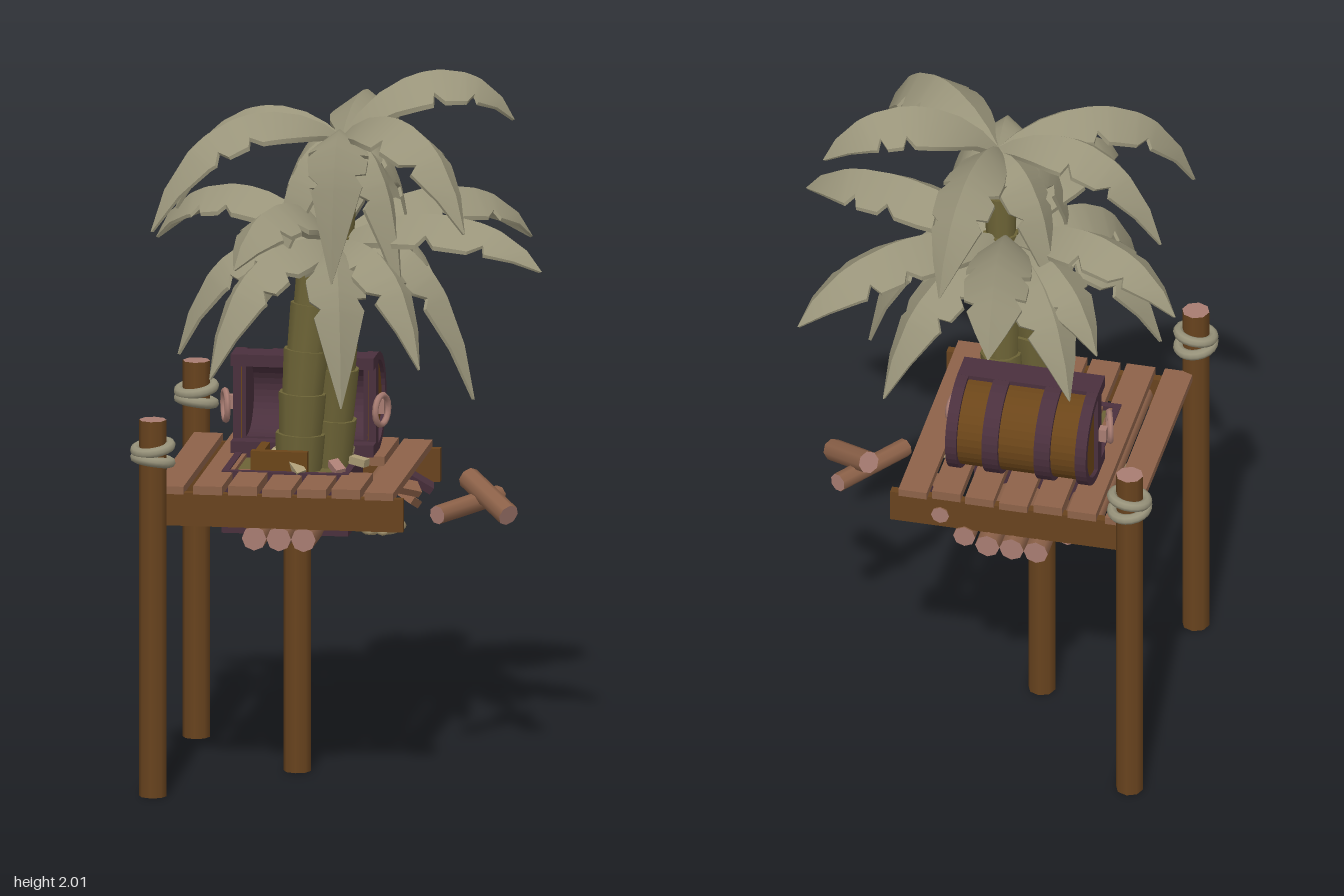
import * as THREE from 'three';
import { toCreasedNormals } from 'three/addons/utils/BufferGeometryUtils.js';

const V = (x, y, z) => new THREE.Vector3(x, y, z);
const mat = (name, color) => {
  const m = new THREE.MeshStandardMaterial({ color });
  m.name = name;
  return m;
};

export function createModel() {
  const leaf = mat('palm leaf', 0x99947a);
  const bark = mat('palm bark', 0x6c6336);
  const post = mat('dark timber', 0x68431e);
  const plank = mat('deck plank', 0x8d6249);
  const cut = mat('cut wood', 0xa87c72);
  const iron = mat('purple chest trim', 0x4a303d);
  const stave = mat('chest stave', 0x6b4519);
  const rope = mat('rope', 0x97927a);
  const bone = mat('bone', 0xaa9a74);

  const model = new THREE.Group();
  model.name = 'palmPlatform';
  let seed = 7;
  const rnd = () => (seed = (seed * 16807) % 2147483647) / 2147483647;

  const add = (name, geo, m, x = 0, y = 0, z = 0, parent = model) => {
    const mesh = new THREE.Mesh(geo, m);
    mesh.name = name;
    mesh.position.set(x, y, z);
    parent.add(mesh);
    return mesh;
  };
  const box = (name, m, x0, x1, y0, y1, z0, z1, parent) =>
    add(name, new THREE.BoxGeometry(x1 - x0, y1 - y0, z1 - z0), m,
      (x0 + x1) / 2, (y0 + y1) / 2, (z0 + z1) / 2, parent);
  // round timber between two points with pale cut ends
  const log = (name, a, b, r, side = plank, ends = [cut, cut]) => {
    const mesh = add(name, new THREE.CylinderGeometry(r, r, a.distanceTo(b), 8), [side, ...ends]);
    mesh.position.copy(a).add(b).multiplyScalar(0.5);
    mesh.quaternion.setFromUnitVectors(V(0, 1, 0), b.clone().sub(a).normalize());
    return mesh;
  };

  // posts and rope bindings
  for (const z of [0.45, -0.365]) {
    log('cornerPost', V(-0.5, 0, z), V(-0.5, 1.08, z), 0.039, post, [cut, post]);
    [0.965, 1.0].forEach((y, i) => {
      const ring = add('ropeBinding', new THREE.TorusGeometry(0.05, 0.015, 8, 20), rope, -0.5, y, z);
      ring.rotation.set(Math.PI / 2 + (i ? 0.14 : -0.1), i ? 0.14 : -0.14, 0);
    });
  }
  log('centrePost', V(-0.15, 0, 0.05), V(-0.15, 0.72, 0.05), 0.039, post, [cut, post]);

  // beams and deck planks, with an opening for the sunken chest
  box('frontBeam', post, -0.47, 0.205, 0.77, 0.865, 0.39, 0.415);
  box('backBeam', post, -0.47, 0.205, 0.77, 0.865, -0.305, -0.28);
  [-0.458, -0.349, -0.25, -0.152, -0.054, 0.043, 0.138].forEach((x, i) => {
    const j = (i % 3) * 0.004, w = 0.041;
    const spans = i > 1 && i < 6 ? [[-0.315 + j, -0.04], [0.18, 0.425 - j]] : [[-0.315 + j, 0.425 - j]];
    for (const [a, b] of spans)
      box('deckPlank', plank, x - w, x + w, 0.862, 0.884 + j * 0.6, a, b);
  });

  // log raft under the deck
  [-0.22, -0.15, -0.08].forEach(x => log('raftLog', V(x, 0.737, 0.4), V(x, 0.737, -0.325), 0.035));
  log('raftLog', V(-0.29, 0.748, 0.2), V(-0.29, 0.748, -0.24), 0.032);
  log('raftLog', V(-0.01, 0.748, 0.2), V(-0.01, 0.748, -0.31), 0.032);
  log('sideLog', V(0.06, 0.81, 0.28), V(0.06, 0.81, -0.31), 0.026);
  log('sideLog', V(-0.37, 0.825, 0.37), V(-0.37, 0.825, -0.27), 0.026);

  // loose crossed logs beside the deck
  log('looseLog', V(0.31, 0.82, -0.12), V(0.445, 0.745, 0.02), 0.032);
  log('looseLog', V(0.25, 0.75, 0.07), V(0.39, 0.765, -0.16), 0.027);

  // open chest body sunk through the deck
  const chest = new THREE.Group();
  chest.name = 'chestBody';
  model.add(chest);
  box('chestFloor', iron, -0.34, 0.02, 0.712, 0.735, -0.16, 0.22, chest);
  box('chestFront', iron, -0.34, 0.02, 0.72, 0.89, 0.2, 0.22, chest);
  box('chestBack', iron, -0.34, 0.02, 0.72, 0.89, -0.06, -0.04, chest);
  for (const x of [-0.34, 0.0]) box('chestSide', iron, x, x + 0.02, 0.72, 0.89, -0.06, 0.22, chest);
  box('chestSoil', bark, -0.32, 0.0, 0.73, 0.875, -0.04, 0.2, chest);

  // raised lid: barrel shell, ends set back behind the lips, bands and ring handles
  const lid = new THREE.Group();
  lid.name = 'chestLid';
  lid.position.set(-0.15, 1.028, -0.04);
  model.add(lid);
  const dee = (grow, wall, start = 0.05) => {
    const s = new THREE.Shape(), h = 0.13 + grow, c = 0.08;
    s.moveTo(start, -h);
    s.lineTo(c, -h);
    s.absellipse(c, 0, 0.147 + grow, h, -Math.PI / 2, Math.PI / 2, false);
    s.lineTo(start, h);
    if (wall) {
      s.lineTo(start, h - wall);
      s.lineTo(c, h - wall);
      s.absellipse(c, 0, 0.147 + grow - wall, h - wall, Math.PI / 2, -Math.PI / 2, true);
      s.lineTo(start, wall - h);
    }
    return s;
  };
  const slab = (name, m, shape, x0, x1) => add(name, new THREE.ExtrudeGeometry(shape,
    { depth: x1 - x0, bevelEnabled: false, curveSegments: 9 }).rotateY(Math.PI / 2), m, x0, 0, 0, lid);
  slab('lidStaves', stave, dee(0, 0.018), -0.19, 0.19);
  slab('lidLining', iron, dee(-0.019, 0.008), -0.185, 0.185);
  for (const s of [-1, 1]) {
    slab('lidEnd', stave, dee(-0.004, 0), s * 0.185 - 0.007, s * 0.185 + 0.007);
    slab('lidEndLining', iron, dee(-0.02, 0), s * 0.173 - 0.006, s * 0.173 + 0.006);
    slab('lidEndBand', iron, dee(0.012, 0.022), s * 0.187 - 0.016, s * 0.187 + 0.016);
    box('lidEndPlate', iron, s * 0.192 - 0.011, s * 0.192 + 0.011, -0.135, 0.135, -0.088, -0.046, lid);
    box('lidLip', iron, -0.203, 0.203, s * 0.125 - 0.017, s * 0.125 + 0.017, -0.085, 0.002, lid);
    const ring = add('ringHandle', new THREE.TorusGeometry(0.042, 0.009, 6, 16), cut, s * 0.222, -0.01, -0.025, lid);
    ring.rotation.y = Math.PI / 2 - s * 0.3;
    box('handleBracket', cut, s * 0.21 - 0.014, s * 0.21 + 0.014, -0.028, 0.012, -0.08, -0.055, lid);
  }
  [-0.075, 0.075].forEach(x => slab('lidBand', iron, dee(0.012, 0.03), x - 0.023, x + 0.023));

  // jointed palm trunks
  const trunk = (pts, r0, r1, n) => {
    const curve = new THREE.CatmullRomCurve3(pts);
    for (let i = 0; i < n; i++) {
      const a = curve.getPoint(i / n), b = curve.getPoint((i + 1) / n);
      const r = r0 + (r1 - r0) * (i / n);
      const seg = add('trunkSegment', new THREE.CylinderGeometry(r * 1.06, r * 0.94, a.distanceTo(b) * 1.06, 10), bark);
      seg.position.copy(a).add(b).multiplyScalar(0.5);
      seg.quaternion.setFromUnitVectors(V(0, 1, 0), b.sub(a).normalize());
    }
  };
  trunk([V(-0.14, 0.86, 0.09), V(-0.125, 1.15, 0.085), V(-0.09, 1.47, 0.06)], 0.068, 0.053, 5);
  trunk([V(-0.06, 0.86, 0.02), V(-0.035, 1.2, 0.035), V(-0.03, 1.5, 0.06), V(-0.02, 1.8, 0.07)], 0.06, 0.038, 7);

  // palm fronds: steep-roofed, notched blades lofted along an arch
  const outline = [[0, .15, .15], [.1, .45, .45], [.22, .8, .75], [.34, .97, .95], [.42, 1, 1], [.45, 1, .68],
    [.5, .74, 1], [.53, 1, 1], [.64, .96, .94], [.66, .64, .92], [.71, .88, .58], [.74, .82, .8], [.88, .48, .46], [1, .02, .02]];
  const frond = (c, [x, y, z, yp, w]) => {
    const tip = V(x, y, z), at = k => V(c.x + (x - c.x) * k, yp, c.z + (z - c.z) * k);
    const curve = new THREE.CubicBezierCurve3(c, at(0.27), at(0.85), tip);
    const side = V(c.z - z, 0, x - c.x).normalize();
    const pos = [], idx = [], N = 6;
    outline.forEach(([t, l, r], k) => {
      const p = curve.getPoint(t), up = side.clone().cross(curve.getTangent(t));
      const th = 0.018 * (1 - t * 0.6), droop = 0.75;
      const pt = (s, u) => p.clone().addScaledVector(side, s).addScaledVector(up, u);
      const L = l * w, R = r * w;
      [pt(-L, -L * droop), pt(0, 0), pt(R, -R * droop), pt(R, -R * droop - th), pt(0, -th), pt(-L, -L * droop - th)]
        .forEach(q => pos.push(q.x, q.y, q.z));
      if (k) for (let i = 0; i < N; i++) {
        const a = (k - 1) * N + i, a2 = (k - 1) * N + (i + 1) % N;
        idx.push(a, a2, a + N, a2, a2 + N, a + N);
      }
    });
    const g = new THREE.BufferGeometry();
    g.setAttribute('position', new THREE.Float32BufferAttribute(pos, 3));
    g.setIndex(idx);
    add('palmFrond', toCreasedNormals(g, 0.55), leaf);
  };
  // each frond: tip x, y, z, arch height, half width
  const crown = V(-0.02, 1.83, 0.07), lower = V(-0.05, 1.52, 0.06);
  [[0.44, 1.85, -0.13, 2.06, .095], [0.03, 1.66, -0.45, 1.96, .085], [0.38, 1.63, 0.41, 1.97, .095],
    [-0.01, 1.46, 0.34, 1.9, .085], [-0.52, 1.6, 0.36, 1.97, .085], [-0.5, 1.6, 0.03, 1.96, .085],
    [-0.2, 1.42, 0.22, 1.84, .075], [0.17, 1.4, 0.2, 1.84, .075], [-0.22, 1.45, -0.08, 1.84, .075],
    [0.16, 1.4, -0.12, 1.84, .075],
  ].forEach(f => frond(crown, f));
  [[0.57, 1.49, 0.22, 1.67, .095], [-0.58, 1.48, -0.14, 1.71, .085], [-0.13, 1.53, -0.53, 1.73, .092],
    [-0.26, 1.53, 0.52, 1.73, .088], [0.45, 1.46, -0.4, 1.69, .095], [-0.34, 1.2, 0.45, 1.58, .085],
    [-0.48, 1.2, 0.12, 1.58, .085], [0.36, 1.09, 0.09, 1.58, .085], [0.03, 1.12, 0.42, 1.56, .085],
    [-0.37, 1.36, -0.21, 1.6, .085], [0.22, 1.2, -0.33, 1.57, .085], [0.24, 1.22, 0.33, 1.57, .08],
    [-0.31, 1.25, -0.29, 1.57, .09],
  ].forEach(f => frond(lower, f));

  // wooden curb and scraps around the trunk foot
  box('trunkCurb', stave, -0.26, -0.1, 0.88, 0.945, 0.175, 0.2);
  box('trunkCurb', stave, -0.26, -0.235, 0.88, 0.93, 0.0, 0.18);
  for (let i = 0; i < 7; i++) {
    const a = i * 0.9;
    const chip = add('woodScrap', new THREE.BoxGeometry(0.05, 0.022, 0.03), i % 2 ? cut : bone,
      -0.1 + Math.cos(a) * 0.13, 0.9, 0.08 + Math.sin(a) * 0.12);
    chip.rotation.set(rnd(), rnd() * 3, rnd() * 0.5);
  }

  // bone fragments heaped under the deck edges
  const heap = (n, x0, x1, z0, z1) => {
    for (let i = 0; i < n; i++) {
      const s = add('boneFragment', new THREE.IcosahedronGeometry(0.022, 1), bone,
        x0 + rnd() * (x1 - x0), 0.74 + rnd() * 0.03, z0 + rnd() * (z1 - z0));
      s.scale.set(1.2, 0.7, 1);
      s.rotation.set(rnd(), rnd() * 3, rnd());
    }
  };
  heap(18, 0.03, 0.13, -0.02, 0.25);
  heap(9, -0.45, -0.36, 0.0, 0.22);
  const profile = [[0, -.065], [.034, -.06], [.03, -.04], [.018, -.025], [.018, .025], [.03, .04], [.034, .06], [0, .065]];
  const big = add('largeBone', new THREE.LatheGeometry(profile.map(p => new THREE.Vector2(...p)), 10), bone, 0.13, 0.785, 0.19);
  big.rotation.set(0.2, 0, 0.3);

  // broken plank pieces at the open side
  [[0.15, 0.79, -0.21, 0.2, iron], [0.13, 0.77, -0.1, -0.5, plank], [0.14, 0.81, -0.02, 0.6, plank]].forEach(([x, y, z, a, m]) => {
    const piece = add('brokenPlank', new THREE.BoxGeometry(0.1, 0.022, 0.045), m, x, y, z);
    piece.rotation.set(a, a * 0.7, -0.6);
  });
  return model;
}
